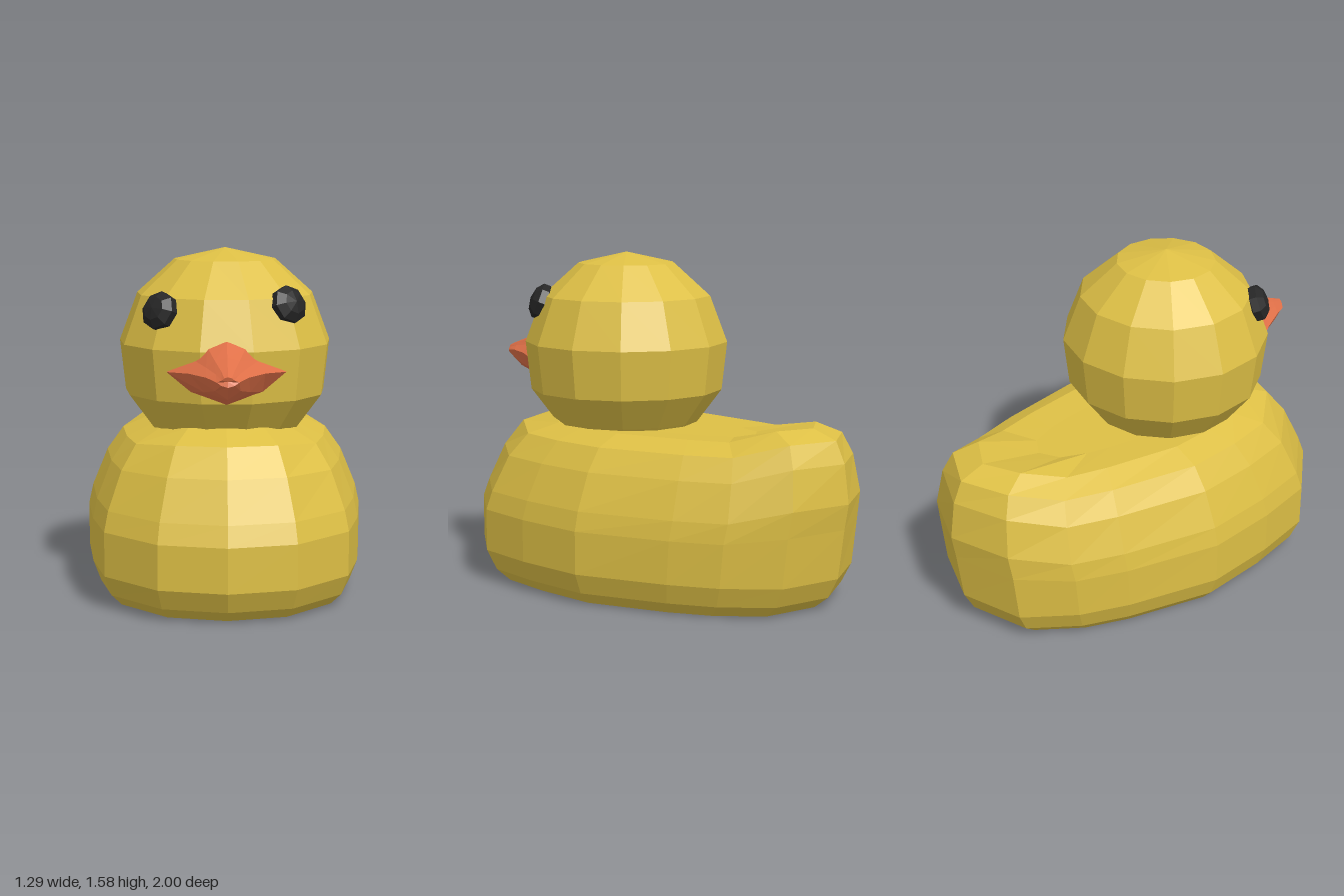
import * as THREE from 'three';

const flat = (name, color) => {
  const m = new THREE.MeshStandardMaterial({ color, flatShading: true });
  m.name = name;
  return m;
};

// Joins closed rings (counter-clockwise about the loft direction) and caps both ends.
function loft(rings) {
  const pos = [];
  const tri = (...pts) => pts.forEach((p) => pos.push(p.x, p.y, p.z));
  const n = rings[0].length;
  const centre = (r) => r.reduce((s, p) => s.add(p), new THREE.Vector3()).divideScalar(n);
  const last = rings[rings.length - 1];
  const c0 = centre(rings[0]);
  const c1 = centre(last);
  for (let j = 0; j < n; j++) {
    const k = (j + 1) % n;
    for (let i = 0; i < rings.length - 1; i++) {
      const [a, b] = [rings[i], rings[i + 1]];
      tri(a[j], a[k], b[k]);
      tri(a[j], b[k], b[j]);
    }
    tri(c0, rings[0][k], rings[0][j]);
    tri(c1, last[j], last[k]);
  }
  const g = new THREE.BufferGeometry();
  g.setAttribute('position', new THREE.Float32BufferAttribute(pos, 3));
  g.computeVertexNormals();
  return g;
}

// Body: one egg-shaped plan, scaled at each height, with the rear lifted into a tail.
function bodyGeometry() {
  const half = [[0, 1], [0.465, 0.93], [0.837, 0.69], [0.94, 0.4], [1, 0.05],
    [0.837, -0.41], [0.705, -0.65], [0.465, -0.89], [0, -1]];
  const plan = [...half, ...half.slice(1, -1).reverse().map(([x, z]) => [-x, z])];
  // height, half width, front reach, back reach, front lift, tail lift
  const levels = [
    [0, 0.56, 0.88, 0.83, 0, 0],
    [0.055, 0.61, 0.95, 0.9, 0, 0],
    [0.15, 0.645, 1, 0.95, 0, 0],
    [0.35, 0.645, 1, 0.98, 0, 0.03],
    [0.44, 0.625, 0.965, 1, 0, 0.06],
    [0.61, 0.555, 0.88, 0.975, 0.01, 0.07],
    [0.715, 0.48, 0.78, 0.93, 0.03, 0.065],
    [0.765, 0.36, 0.62, 0.81, 0.035, 0.06],
    [0.76, 0.2, 0.4, 0.5, 0, 0],
  ];
  return loft(levels.map(([y, w, front, back, fLift, tLift]) => plan.map(([u, v]) => {
    const lift = v < 0 ? tLift * THREE.MathUtils.smoothstep(-v, 0.62, 0.9)
      : fLift * THREE.MathUtils.smoothstep(v, 0.6, 1);
    return new THREE.Vector3(u * w, y + lift, v * (v > 0 ? front : back));
  })));
}

// Bill: cross-sections from inside the face to the tip, with swept-back corners.
function billGeometry() {
  const section = [[1, 0], [0.55, 0.42], [0.32, 0.82], [0, 1], [-0.32, 0.82], [-0.55, 0.42],
    [-1, 0], [-0.6, -0.6], [0, -1], [0.6, -0.6]];
  // centre z, corner z, half width, top, bottom, mouth height
  const stations = [
    [0.6, 0.56, 0.25, 1.195, 0.92, 1.055],
    [0.71, 0.64, 0.262, 1.195, 0.92, 1.055],
    [0.83, 0.77, 0.165, 1.14, 0.94, 1.065],
    [0.93, 0.9, 0.09, 1.105, 0.975, 1.065],
    [0.995, 0.975, 0.048, 1.08, 1.035, 1.055],
  ];
  return loft(stations.map(([z, zc, w, top, bottom, mouth]) => section.map(([u, v]) =>
    new THREE.Vector3(u * w, mouth + v * (v > 0 ? top - mouth : mouth - bottom),
      THREE.MathUtils.lerp(z, zc, u * u)))));
}

export function createModel() {
  const yellow = flat('yellow', 0xddbf45);
  const orange = flat('orange', 0xe07048);
  const black = flat('black', 0x262626);
  const group = new THREE.Group();
  const add = (name, geometry, material) => {
    const mesh = new THREE.Mesh(geometry, material);
    mesh.name = name;
    group.add(mesh);
    return mesh;
  };

  add('body', bodyGeometry(), yellow);

  // Thirteen-sided head with one corner at the back
  const profile = [[0.28, 0.68], [0.35, 0.77], [0.462, 0.92], [0.488, 1.15], [0.405, 1.37],
    [0.232, 1.525], [0, 1.577]].map(([r, y]) => new THREE.Vector2(r, y));
  add('head', new THREE.LatheGeometry(profile, 13, Math.PI), yellow).position.z = 0.25;

  add('bill', billGeometry(), orange);

  // Flattened faceted eyes facing out from the head
  const eye = new THREE.SphereGeometry(1, 8, 5).rotateX(Math.PI / 2).scale(0.095, 0.09, 0.055);
  for (const [name, x, y, z] of [['leftEye', 0.275, 1.34, 0.555], ['rightEye', -0.292, 1.315, 0.565]]) {
    const mesh = add(name, eye, black);
    mesh.position.set(x, y, z);
    mesh.lookAt(x * 2, y + 0.16, z * 2 - 0.25);
  }
  return group;
}
